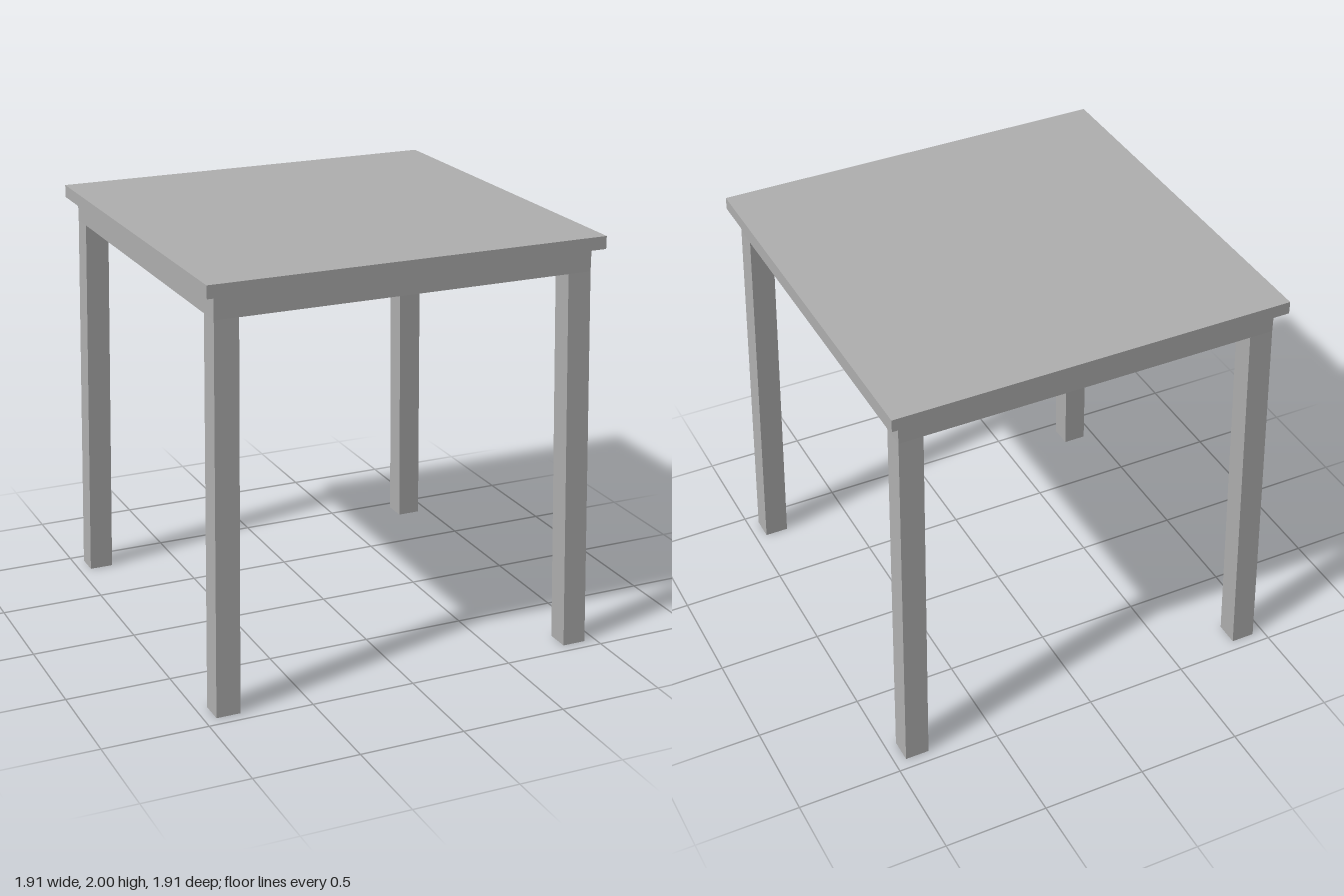
import * as THREE from 'three';

const TOP = 2, TOP_UNDER = 1.94, APRON_UNDER = 1.83;
const TOP_HALF = 0.955;              // half width of the table top
const FRAME_OUT = 0.908, FRAME_IN = 0.794;
const FOOT_OUT = 0.944, FOOT_IN = 0.829;

function squarePath(path, h) {
  path.moveTo(-h, -h);
  path.lineTo(h, -h);
  path.lineTo(h, h);
  path.lineTo(-h, h);
  path.closePath();
  return path;
}

// Square post whose foot is splayed outward along both axes
function legGeometry(sx, sz) {
  const geo = new THREE.BoxGeometry(1, APRON_UNDER, 1);
  geo.translate(0, APRON_UNDER / 2, 0);
  const p = geo.attributes.position;
  for (let i = 0; i < p.count; i++) {
    const foot = p.getY(i) < 0.01;
    const out = foot ? FOOT_OUT : FRAME_OUT;
    const inn = foot ? FOOT_IN : FRAME_IN;
    p.setX(i, sx * (p.getX(i) * sx > 0 ? out : inn));
    p.setZ(i, sz * (p.getZ(i) * sz > 0 ? out : inn));
  }
  geo.computeVertexNormals();
  return geo;
}

export function createModel() {
  const table = new THREE.Group();
  table.name = 'table';
  const grey = new THREE.MeshStandardMaterial({ color: 0xb0b0b0 });
  grey.name = 'grey';

  const add = (geo, name) => {
    const mesh = new THREE.Mesh(geo, grey);
    mesh.name = name;
    table.add(mesh);
    return mesh;
  };

  // Table top
  const thickness = TOP - TOP_UNDER;
  add(new THREE.BoxGeometry(TOP_HALF * 2, thickness, TOP_HALF * 2), 'tableTop')
    .position.y = TOP - thickness / 2;

  // Apron: square frame, open in the middle
  const ring = squarePath(new THREE.Shape(), FRAME_OUT);
  ring.holes.push(squarePath(new THREE.Path(), FRAME_IN));
  const apron = new THREE.ExtrudeGeometry(ring, { depth: TOP_UNDER - APRON_UNDER, bevelEnabled: false });
  apron.rotateX(-Math.PI / 2);
  add(apron, 'apron').position.y = APRON_UNDER;

  // Four splayed legs
  for (const [sx, side] of [[1, 'Left'], [-1, 'Right']]) {
    for (const [sz, end] of [[1, 'front'], [-1, 'back']]) {
      add(legGeometry(sx, sz), `${end}${side}Leg`);
    }
  }
  return table;
}
